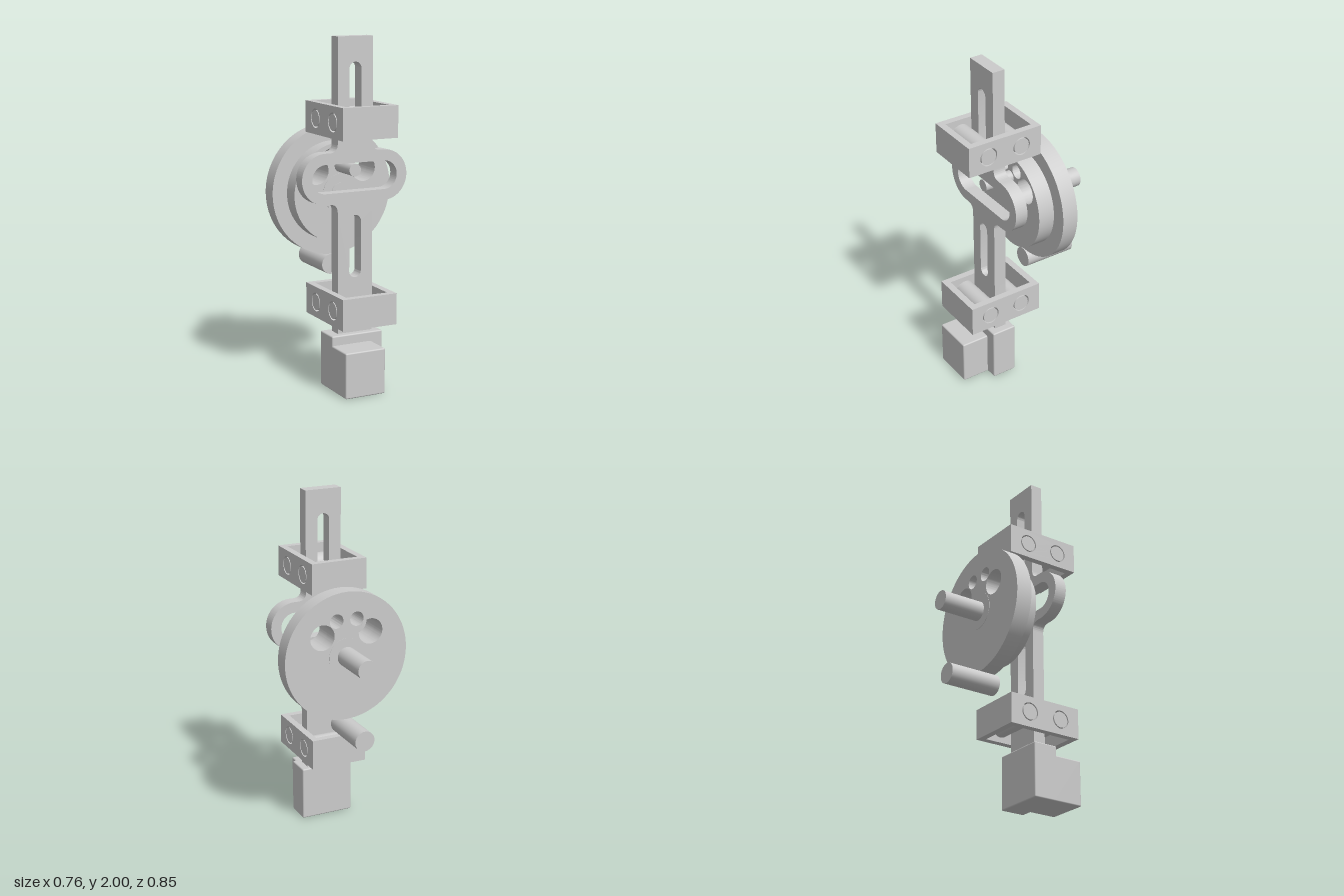
import * as THREE from 'three';
import { toCreasedNormals } from 'three/addons/utils/BufferGeometryUtils.js';
import { RoundedBoxGeometry } from 'three/addons/geometries/RoundedBoxGeometry.js';

const mat = new THREE.MeshStandardMaterial({ color: 0xcccccc });

function add(parent, name, geometry, x = 0, y = 0, z = 0) {
  const mesh = new THREE.Mesh(geometry, mat);
  mesh.name = name;
  mesh.position.set(x, y, z);
  parent.add(mesh);
  return mesh;
}

// Flat plate cut from a shape, with smooth curved walls and sharp rims
function plate(shape, depth) {
  const g = new THREE.ExtrudeGeometry(shape, { depth, bevelEnabled: false, curveSegments: 40 });
  return toCreasedNormals(g, 0.5);
}

function circlePath(x, y, r) {
  return new THREE.Path().absarc(x, y, r, 0, Math.PI * 2, true);
}

// Block given by its limits, with slightly softened edges
function block(parent, name, x0, x1, y0, y1, z0, z1, r = 0.008) {
  const g = new RoundedBoxGeometry(x1 - x0, y1 - y0, z1 - z0, 2, r);
  return add(parent, name, g, (x0 + x1) / 2, (y0 + y1) / 2, (z0 + z1) / 2);
}

// Round rod along z
function rodZ(parent, name, r, x, y, z0, z1) {
  const g = new THREE.CylinderGeometry(r, r, z1 - z0, 40).rotateX(Math.PI / 2);
  return add(parent, name, g, x, y, (z0 + z1) / 2);
}

// Round rod along x
function rodX(parent, name, r, x0, x1, y, z) {
  const g = new THREE.CylinderGeometry(r, r, x1 - x0, 40).rotateZ(Math.PI / 2);
  return add(parent, name, g, (x0 + x1) / 2, y, z);
}

function verticalSlot(y0, y1, r) {
  const p = new THREE.Path();
  p.absarc(0, y1 - r, r, 0, Math.PI, false);
  p.absarc(0, y0 + r, r, Math.PI, Math.PI * 2, false);
  p.closePath();
  return p;
}

// Sliding bar with its cross-wise yoke, in one outline
function sliderShape() {
  const w = 0.11, cx = 0.185, cy = 1.215, R = 0.145, r = 0.082, f = 0.05;
  const s = new THREE.Shape();
  s.moveTo(-w, 0.3);
  s.lineTo(w, 0.3);
  s.lineTo(w, cy - R - f);
  s.quadraticCurveTo(w, cy - R, w + f, cy - R);
  s.absarc(cx, cy, R, -Math.PI / 2, Math.PI / 2, false);
  s.lineTo(w + f, cy + R);
  s.quadraticCurveTo(w, cy + R, w, cy + R + f);
  s.lineTo(w, 2);
  s.lineTo(-w, 2);
  s.lineTo(-w, cy + R + f);
  s.quadraticCurveTo(-w, cy + R, -w - f, cy + R);
  s.absarc(-cx, cy, R, Math.PI / 2, Math.PI * 1.5, false);
  s.lineTo(-w - f, cy - R);
  s.quadraticCurveTo(-w, cy - R, -w, cy - R - f);
  s.closePath();
  const slot = new THREE.Path();
  slot.absarc(cx, cy, r, -Math.PI / 2, Math.PI / 2, false);
  slot.absarc(-cx, cy, r, Math.PI / 2, Math.PI * 1.5, false);
  slot.closePath();
  s.holes.push(slot, verticalSlot(1.42, 1.86, 0.037), verticalSlot(0.64, 1.0, 0.037));
  return s;
}

// Wheel disc with two large and two small through holes
function discShape(r) {
  const s = new THREE.Shape().absarc(0, 1.1, r, 0, Math.PI * 2, false);
  for (const side of [-1, 1]) {
    s.holes.push(circlePath(side * 0.15, 1.23, 0.075), circlePath(side * 0.063, 1.315, 0.042));
  }
  return s;
}

// Roller guide: open box frame with two rollers on axles
function rollerGuide(name, y) {
  const g = new THREE.Group();
  g.name = name;
  const h = 0.18, x0 = -0.175, x1 = 0.165, z0 = -0.06, z1 = 0.405, t = 0.04;
  const axles = [0.067, 0.28], rollers = [0.077, 0.267];

  // Side walls, drawn in (-z, y) and turned to face x
  const wall = new THREE.Shape();
  wall.moveTo(-z1, -h / 2);
  wall.lineTo(-z0, -h / 2);
  wall.lineTo(-z0, h / 2);
  wall.lineTo(-z1, h / 2);
  wall.closePath();
  axles.forEach((z) => wall.holes.push(circlePath(-z, 0, 0.054)));
  const wallGeometry = plate(wall, t).rotateY(Math.PI / 2);
  add(g, 'guideSideWall', wallGeometry, x0);
  add(g, 'guideSideWall', wallGeometry, x1 - t);

  // Front and back walls
  const endGeometry = new THREE.BoxGeometry(x1 - x0 - 2 * t, h, t);
  for (const z of [z0 + t / 2, z1 - t / 2]) add(g, 'guideEndWall', endGeometry, (x0 + x1) / 2, 0, z);

  axles.forEach((z, i) => {
    rodX(g, 'axle', 0.047, x0, x1, 0, z);
    rodX(g, 'roller', 0.059, x0 + t, x1 - t, 0, rollers[i]);
  });
  g.position.y = y;
  return g;
}

export function createModel() {
  const model = new THREE.Group();
  model.name = 'crankSliderMechanism';

  // Sliding bar and foot
  add(model, 'sliderBarAndYoke', plate(sliderShape(), 0.075), 0, 0, 0.14);
  const foot = new THREE.Group();
  foot.name = 'foot';
  block(foot, 'footRearBlock', -0.165, 0.155, 0, 0.32, 0.105, 0.255);
  block(foot, 'footFrontBlock', -0.165, 0.085, 0, 0.265, 0.235, 0.422);
  model.add(foot);

  // Guides
  model.add(rollerGuide('upperGuide', 1.54), rollerGuide('lowerGuide', 0.48));

  // Crank wheel with shaft, drive pin and handle
  const wheel = new THREE.Group();
  wheel.name = 'crankWheel';
  add(wheel, 'largeDisc', plate(discShape(0.38), 0.097), 0, 0, -0.165);
  add(wheel, 'smallDisc', plate(discShape(0.29), 0.1), 0, 0, -0.068);
  rodZ(wheel, 'hub', 0.11, 0, 1.1, -0.167, 0.035);
  rodZ(wheel, 'shaft', 0.057, 0, 1.1, -0.425, 0.038);
  rodZ(wheel, 'drivePin', 0.036, 0, 1.255, 0.03, 0.215);
  rodZ(wheel, 'handle', 0.06, -0.01, 0.66, -0.38, -0.063);
  model.add(wheel);

  return model;
}
